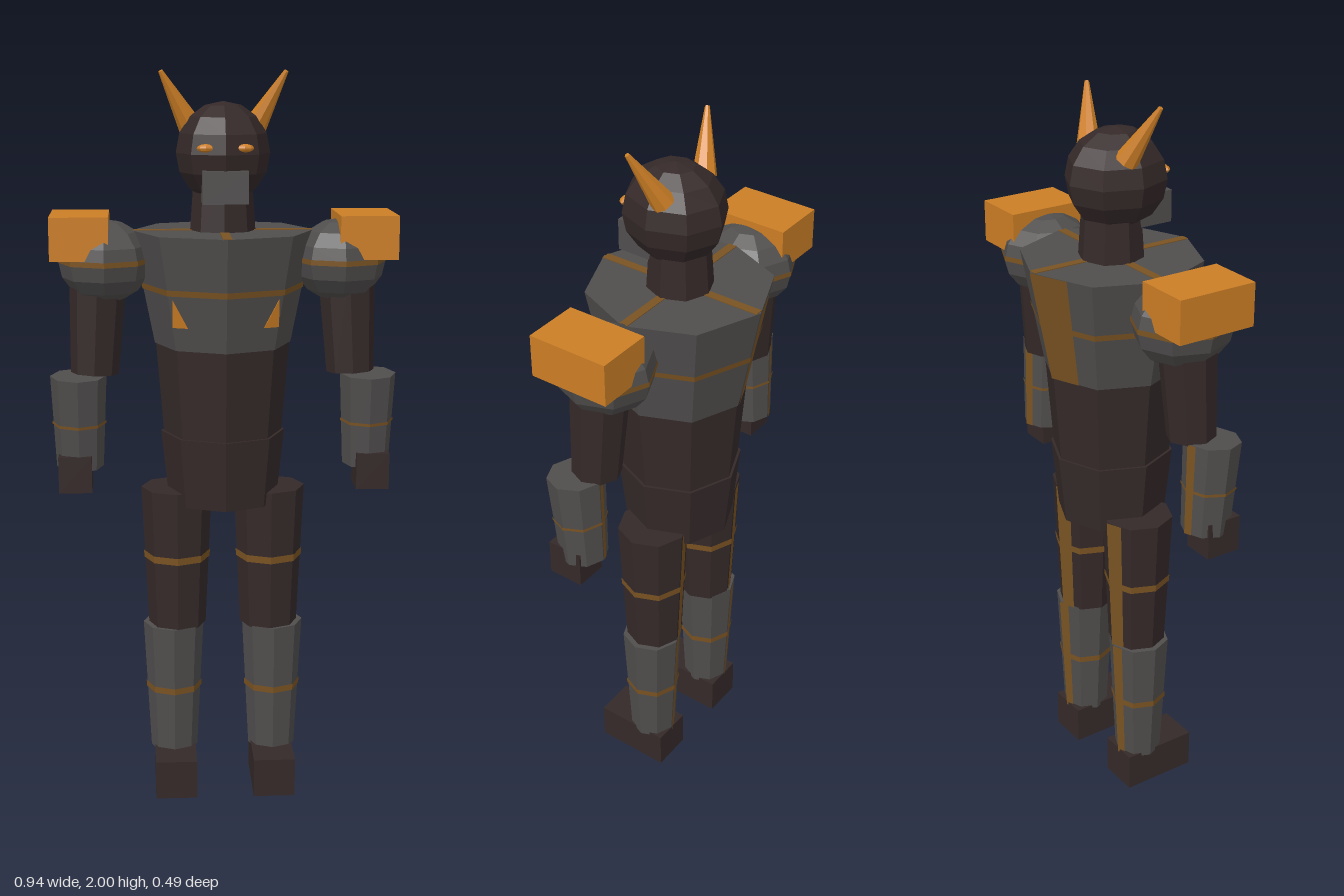
import * as THREE from 'three';

const mat = (name, color) => {
  const m = new THREE.MeshStandardMaterial({ color, flatShading: true });
  m.name = name;
  return m;
};

export function createModel() {
  const dark = mat('dark brown', 0x352929);
  const grey = mat('iron grey', 0x504e4d);
  const orange = mat('orange', 0xcc7e25);
  const bronze = mat('bronze', 0x7a5322);
  const model = new THREE.Group();

  const add = (parent, name, geo, material, x = 0, y = 0, z = 0) => {
    const m = new THREE.Mesh(geo, material);
    m.name = name;
    m.position.set(x, y, z);
    parent.add(m);
    return m;
  };
  const box = (w, h, d) => new THREE.BoxGeometry(w, h, d);

  // Eight-sided tapered limb or torso part, with optional trim ring and back strip
  const segment = (parent, name, material, rTop, rBottom, top, bottom, x = 0, z = 0, trim = {}) => {
    const h = top - bottom;
    const part = new THREE.Group();
    part.name = name;
    part.position.set(x, (top + bottom) / 2, z);
    parent.add(part);
    add(part, name + 'Body', new THREE.CylinderGeometry(rTop, rBottom, h, 8), material);
    const radius = (y) => rBottom + (rTop - rBottom) * (y / h + 0.5) + 0.003;
    if (trim.ring) {
      const y = trim.ring - part.position.y, t = trim.height / 2;
      add(part, name + 'Ring', new THREE.CylinderGeometry(radius(y + t), radius(y - t), 2 * t, 8, 1, true), bronze, 0, y);
    }
    if (trim.strip) {
      // Strip lies on the flat face beside the rear edge
      const g = new THREE.PlaneGeometry(1, h);
      const p = g.attributes.position;
      const c = Math.SQRT1_2;
      for (let i = 0; i < p.count; i++) {
        const u = (p.getX(i) + 0.5) * trim.strip, y = p.getY(i), r = radius(y);
        p.setXYZ(i, -u * c * r, y, -r * (1 - u + u * c));
      }
      add(part, name + 'BackStrip', g, bronze);
    }
    return part;
  };

  // Torso
  segment(model, 'chest', grey, 0.245, 0.185, 1.585, 1.28, 0, 0, { ring: 1.437, height: 0.016, strip: 0.6 });
  segment(model, 'abdomen', dark, 0.182, 0.162, 1.28, 1.03);
  segment(model, 'hips', dark, 0.17, 0.15, 1.035, 0.84);
  add(model, 'chestTopStripeAcross', box(0.48, 0.004, 0.024), bronze, 0, 1.585, 0);
  add(model, 'chestTopStripeAlong', box(0.024, 0.004, 0.48), bronze, 0, 1.585, 0);
  segment(model, 'neck', dark, 0.078, 0.088, 1.72, 1.58);

  // Head and muzzle
  const head = add(model, 'head', new THREE.SphereGeometry(1, 8, 8), dark, 0, 1.79, 0.015);
  head.scale.set(0.125, 0.133, 0.14);
  add(model, 'muzzle', box(0.12, 0.085, 0.1), grey, 0, 1.7075, 0.098);

  for (const s of [1, -1]) {
    const side = s > 0 ? 'left' : 'right';

    // Eye and horn
    const eye = add(model, side + 'Eye', new THREE.SphereGeometry(1, 8, 6), orange, s * 0.05, 1.807, 0.127);
    eye.scale.set(0.024, 0.011, 0.014);
    const base = new THREE.Vector3(s * 0.086, 1.857, -0.012);
    const tip = new THREE.Vector3(s * 0.164, 2.0, 0.035);
    const axis = tip.clone().sub(base);
    const horn = add(model, side + 'Horn', new THREE.CylinderGeometry(0.006, 0.032, axis.length(), 8), orange);
    horn.position.copy(base).lerp(tip, 0.5);
    horn.quaternion.setFromUnitVectors(new THREE.Vector3(0, 1, 0), axis.normalize());

    // Triangular chest mark, laid along the sloping front face
    const tri = new THREE.Shape();
    const pts = [[0.14, 1.42], [0.1, 1.345], [0.14, 1.345]];
    pts.forEach(([x, y], i) => (i ? tri.lineTo(s * x, y) : tri.moveTo(s * x, y)));
    const mark = new THREE.ExtrudeGeometry(tri, { depth: 0.009, bevelEnabled: false });
    const mp = mark.attributes.position;
    for (let i = 0; i < mp.count; i++) {
      const r = 0.185 + (mp.getY(i) - 1.28) * 0.197;
      mp.setZ(i, mp.getZ(i) + r - 0.414 * Math.abs(mp.getX(i)));
    }
    add(model, side + 'ChestMark', mark, orange);

    // Shoulder, pad and arm
    const shoulder = add(model, side + 'Shoulder', new THREE.SphereGeometry(1, 8, 8), grey, s * 0.317, 1.503, 0);
    shoulder.scale.set(0.125, 0.112, 0.135);
    const ring = add(model, side + 'ShoulderRing', new THREE.CylinderGeometry(1, 1, 0.014, 8, 1, true), bronze, s * 0.317, 1.507, 0);
    ring.scale.set(0.126, 1, 0.136);
    add(model, side + 'ShoulderPad', box(0.155, 0.115, 0.223), orange, s * 0.3825, 1.5725, -0.002);
    const upperArm = segment(model, side + 'UpperArm', dark, 0.078, 0.065, 1.48, 1.2, s * 0.342, 0.006);
    upperArm.rotation.set(-0.04, 0, s * 0.05);
    const forearm = segment(model, side + 'Forearm', grey, 0.076, 0.064, 1.2, 0.945, s * 0.393, 0.038,
      { ring: 1.07, height: 0.008, strip: 0.4 });
    forearm.rotation.x = 0.06;
    add(model, side + 'Hand', box(0.09, 0.1, 0.1), dark, s * 0.405, 0.935, 0.05);

    // Leg and foot
    segment(model, side + 'Thigh', dark, 0.098, 0.08, 0.875, 0.475, s * 0.129, 0,
      { ring: 0.68, height: 0.02, strip: 0.6 });
    segment(model, side + 'Shin', grey, 0.085, 0.066, 0.478, 0.1, s * 0.14, 0,
      { ring: 0.29, height: 0.018, strip: 0.45 });
    add(model, side + 'Foot', box(0.116, 0.11, 0.217), dark, s * 0.138, 0.055, 0.0415);
  }
  return model;
}
